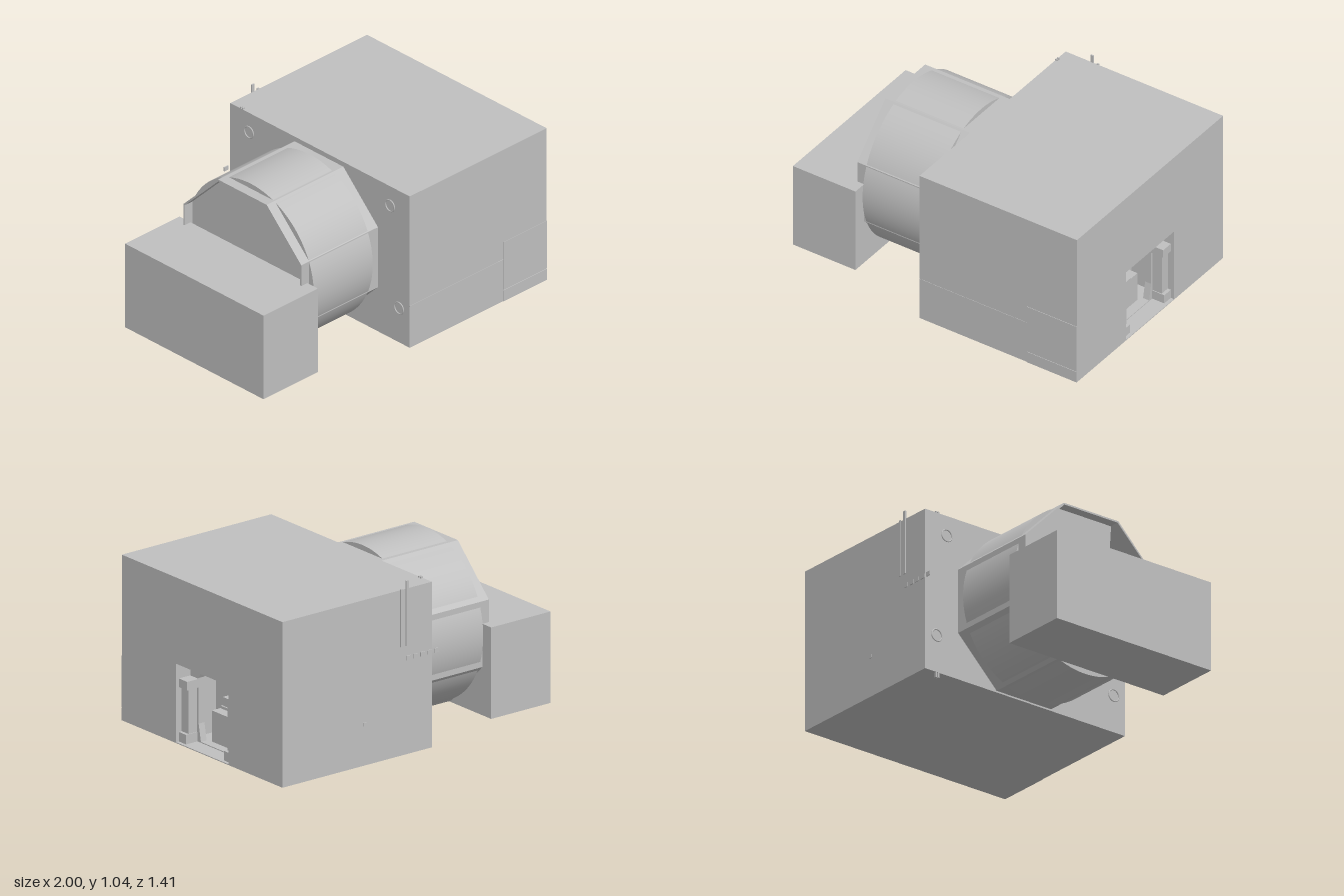
import * as THREE from 'three';

export function createModel() {
  const model = new THREE.Group();
  const grey = new THREE.MeshStandardMaterial({ color: 0xc0c0c0 });
  grey.name = 'lightGrey';

  const add = (name, geometry) => {
    const mesh = new THREE.Mesh(geometry, grey);
    mesh.name = name;
    model.add(mesh);
    return mesh;
  };
  // Box given by its lower and upper limits on each axis
  const block = (name, [x0, x1], [y0, y1], [z0, z1]) => {
    const mesh = add(name, new THREE.BoxGeometry(x1 - x0, y1 - y0, z1 - z0));
    mesh.position.set((x0 + x1) / 2, (y0 + y1) / 2, (z0 + z1) / 2);
    return mesh;
  };
  const shapeOf = (pts) => new THREE.Shape(pts.map(([a, b]) => new THREE.Vector2(a, b)));
  // Extrudes an outline drawn in (-z, y) along x, from x0 to x1
  const extrudeX = (name, shape, x0, x1, curveSegments = 48) => {
    const g = new THREE.ExtrudeGeometry(shape, { depth: x1 - x0, bevelEnabled: false, curveSegments });
    g.rotateY(Math.PI / 2);
    g.translate(x0, 0, 0);
    return add(name, g);
  };
  const octagon = (apothem) => {
    const r = apothem / Math.cos(Math.PI / 8);
    return Array.from({ length: 8 }, (_, i) => {
      const a = (i + 0.5) * Math.PI / 4;
      return [0.008 + r * Math.cos(a), 0.5 + r * Math.sin(a)];
    });
  };

  // Main hull: solid rear part and a front part pierced by the doorway
  const recess = 0.72;
  block('mainHull', [-0.045, recess], [0.03, 0.99], [-0.7, 0.7]);
  const hull = shapeOf([[-0.7, 0.03], [0.7, 0.03], [0.7, 0.99], [-0.7, 0.99]]);
  hull.holes.push(shapeOf([[-0.228, 0.035], [-0.228, 0.49], [0.228, 0.49], [0.228, 0.035]]));
  extrudeX('doorwayHull', hull, recess, 1);

  // Doorway frame with chamfered inner corners, set in two steps
  const frame = (name, w, top, c, x0, x1) => {
    const s = shapeOf([[-0.228, 0.035], [0.228, 0.035], [0.228, 0.49], [-0.228, 0.49]]);
    s.holes.push(shapeOf([[-w + 0.02, 0.04], [-w, 0.14], [-w, top - c], [-w + 0.04, top],
      [w - 0.04, top], [w, top - c], [w, 0.14], [w - 0.02, 0.04]]));
    extrudeX(name, s, x0, x1);
  };
  frame('innerDoorFrame', 0.155, 0.475, 0.07, 0.86, 0.9);
  for (const s of [-1, 1]) {
    const z = (a, b) => (s > 0 ? [a, b] : [-b, -a]);
    block('doorPost', [0.9, 0.96], [0.035, 0.35], z(0.17, 0.228));
    block('doorPostCap', [0.9, 0.98], [0.35, 0.4], z(0.155, 0.228));
    block('doorFoot', [0.9, 0.98], [0.035, 0.09], z(0.165, 0.228));
  }
  block('console', [recess, 0.84], [0.035, 0.215], [-0.11, 0.115]);
  block('consoleTop', [recess, 0.78], [0.215, 0.23], [0, 0.11]);

  // Thin panels and seam strips on the front wall
  block('sidePanel', [0.67, 1], [0.105, 0.405], [0.7, 0.703]);
  block('lowerSidePanel', [0.67, 1], [0.03, 0.1], [0.7, 0.703]);
  block('wallSeam', [-0.045, 0.67], [0.288, 0.296], [0.7, 0.702]);

  // Round drum with an octagonal sleeve passing through it
  const ring = new THREE.Shape().absarc(0.003, 0.5, 0.491, 0, Math.PI * 2, false);
  ring.holes.push(shapeOf(octagon(0.455)));
  extrudeX('drum', ring, -0.57, -0.12);
  const sleeve = shapeOf(octagon(0.46));
  sleeve.holes.push(shapeOf(octagon(0.45)));
  extrudeX('octagonSleeve', sleeve, -0.63, -0.045);
  extrudeX('sleeveBulkhead', shapeOf(octagon(0.455)), -0.29, -0.28);
  // Smooth the drum's curved wall and keep its ends flat
  const drum = model.getObjectByName('drum').geometry;
  const p = drum.attributes.position, n = drum.attributes.normal;
  for (let i = 0; i < p.count; i++) {
    const y = p.getY(i) - 0.5, z = p.getZ(i) + 0.003, r = Math.hypot(y, z);
    if (Math.abs(n.getX(i)) < 0.5 && Math.abs(r - 0.491) < 0.0005 && n.getY(i) * y + n.getZ(i) * z > 0) {
      n.setXYZ(i, 0, y / r, z / r);
    }
  }

  // Low end module
  block('endModule', [-1, -0.585], [0.03, 0.56], [-0.545, 0.535]);

  // Antenna rails and small fittings on the back wall
  block('antennaRail', [0.12, 0.138], [0.66, 1.037], [-0.706, -0.698]);
  block('shortRail', [0.162, 0.176], [0.66, 0.995], [-0.706, -0.698]);
  for (let i = 0; i < 5; i++) {
    const x = -0.09 + i * 0.048;
    block('backRung', [x, x + 0.03], [0.575, 0.6], [-0.705, -0.699]);
  }
  block('backStud', [0.415, 0.435], [0.26, 0.28], [-0.704, -0.699]);

  // Grab rings on the drum-side wall and locating pegs
  for (const [y, z] of [[0.87, -0.55], [0.87, 0.55], [0.25, -0.62], [0.25, 0.62]]) {
    const grab = add('grabRing', new THREE.TorusGeometry(0.035, 0.004, 6, 16));
    grab.rotation.y = Math.PI / 2;
    grab.position.set(-0.049, y, z);
  }
  for (const z of [-0.604, -0.619]) {
    block('topPeg', [-0.045, -0.03], [0.98, 1], [z - 0.004, z + 0.004]);
    block('bottomPeg', [-0.045, -0.03], [0, 0.04], [z - 0.004, z + 0.004]);
  }
  return model;
}
